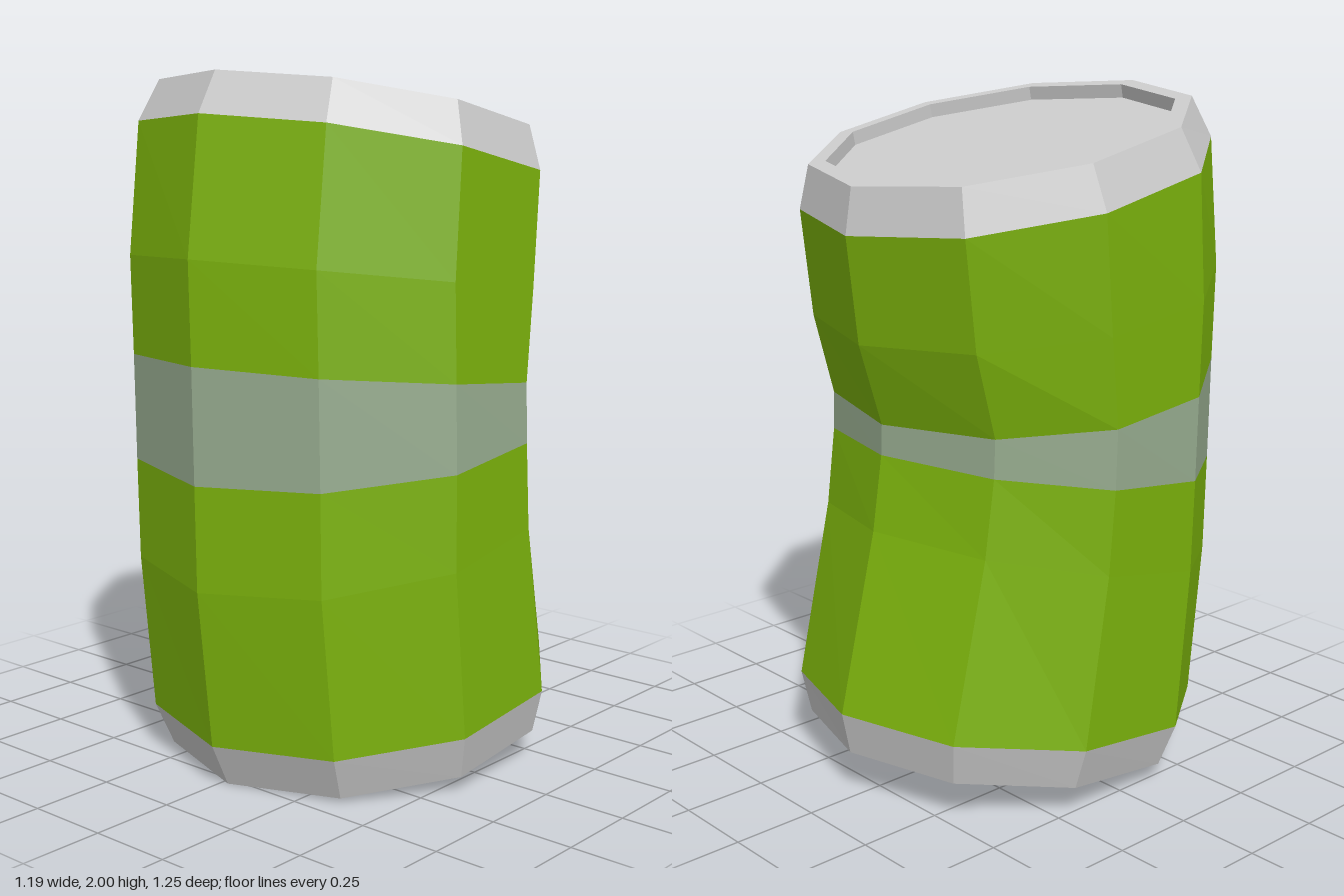
import * as THREE from 'three';

const SIDES = 10;
// how strongly a ring's dent pushes each column, from front (0) to back (5)
const DENT_WEIGHT = [0, 0, 0, 0.42, 0.9, 1];

// Ring of a bent can: [centre x, radius x, z front, z back (undented), y front, y back, dent]
function ringPoints([cx, rx, zf, zb, yf, yb, dent = 0]) {
  const pts = [];
  for (let k = 0; k < SIDES; k++) {
    const a = (k / SIDES) * Math.PI * 2;
    const t = (1 - Math.cos(a)) / 2;
    const w = DENT_WEIGHT[Math.min(k, SIDES - k)];
    pts.push([cx + rx * Math.sin(a), yf + (yb - yf) * t, zf + (zb - zf) * t + dent * w]);
  }
  return pts;
}

// Skin a list of rings with flat-shaded faces; zero-size rings close the ends
function loft(name, rings, color) {
  const loops = rings.map(ringPoints);
  const pos = [];
  for (let i = 0; i < loops.length - 1; i++) {
    for (let k = 0; k < SIDES; k++) {
      const n = (k + 1) % SIDES;
      const a = loops[i][k], b = loops[i][n], c = loops[i + 1][n], d = loops[i + 1][k];
      if (rings[i][1] > 0) pos.push(...a, ...b, ...d);
      if (rings[i + 1][1] > 0) pos.push(...b, ...c, ...d);
    }
  }
  const geo = new THREE.BufferGeometry();
  geo.setAttribute('position', new THREE.Float32BufferAttribute(pos, 3));
  geo.computeVertexNormals();
  const mesh = new THREE.Mesh(geo, new THREE.MeshStandardMaterial({ color, flatShading: true }));
  mesh.name = name;
  return mesh;
}

export function createModel() {
  const GREY = 0xcccccc, GREEN = 0x7cb30c, BAND = 0x98ad90;

  // base: recessed panel, lip and chamfer
  const baseCentre = [0.02, 0, -0.026, -0.026, 0.107, 0.107];
  const baseFloor = [0.02, 0.52, 0.484, -0.536, 0.05, 0.164];
  const baseInner = [0.02, 0.52, 0.48, -0.54, 0.011, 0.124];
  const baseOuter = [0.02, 0.567, 0.53, -0.59, 0.0, 0.13];
  // body, dented at the back
  const bodyBottom = [0.015, 0.605, 0.585, -0.62, 0.125, 0.26];
  const bodyLow = [0.005, 0.605, 0.625, -0.595, 0.58, 0.79, 0.095];
  const bandBottom = [0.0, 0.608, 0.625, -0.595, 0.88, 1.01, 0.125];
  const bandTop = [-0.005, 0.608, 0.625, -0.595, 1.21, 1.1, 0.125];
  const bodyHigh = [-0.012, 0.608, 0.625, -0.595, 1.5, 1.34, 0.045];
  const bodyTop = [-0.02, 0.607, 0.57, -0.592, 1.885, 1.645];
  // lid: chamfer, lip and recessed panel
  const lidOuter = [-0.02, 0.56, 0.505, -0.57, 2.0, 1.775];
  const lidInner = [-0.02, 0.515, 0.455, -0.52, 1.99, 1.785];
  const lidFloor = [-0.02, 0.515, 0.463, -0.512, 1.95, 1.746];
  const lidCentre = [-0.02, 0, -0.025, -0.025, 1.848, 1.848];

  const can = new THREE.Group();
  can.name = 'dentedCan';
  can.add(
    loft('basePanel', [baseCentre, baseFloor], GREY),
    loft('baseRim', [baseFloor, baseInner, baseOuter, bodyBottom], GREY),
    loft('lowerBody', [bodyBottom, bodyLow, bandBottom], GREEN),
    loft('middleBand', [bandBottom, bandTop], BAND),
    loft('upperBody', [bandTop, bodyHigh, bodyTop], GREEN),
    loft('lidRim', [bodyTop, lidOuter, lidInner, lidFloor], GREY),
    loft('lidPanel', [lidFloor, lidCentre], GREY),
  );
  return can;
}
